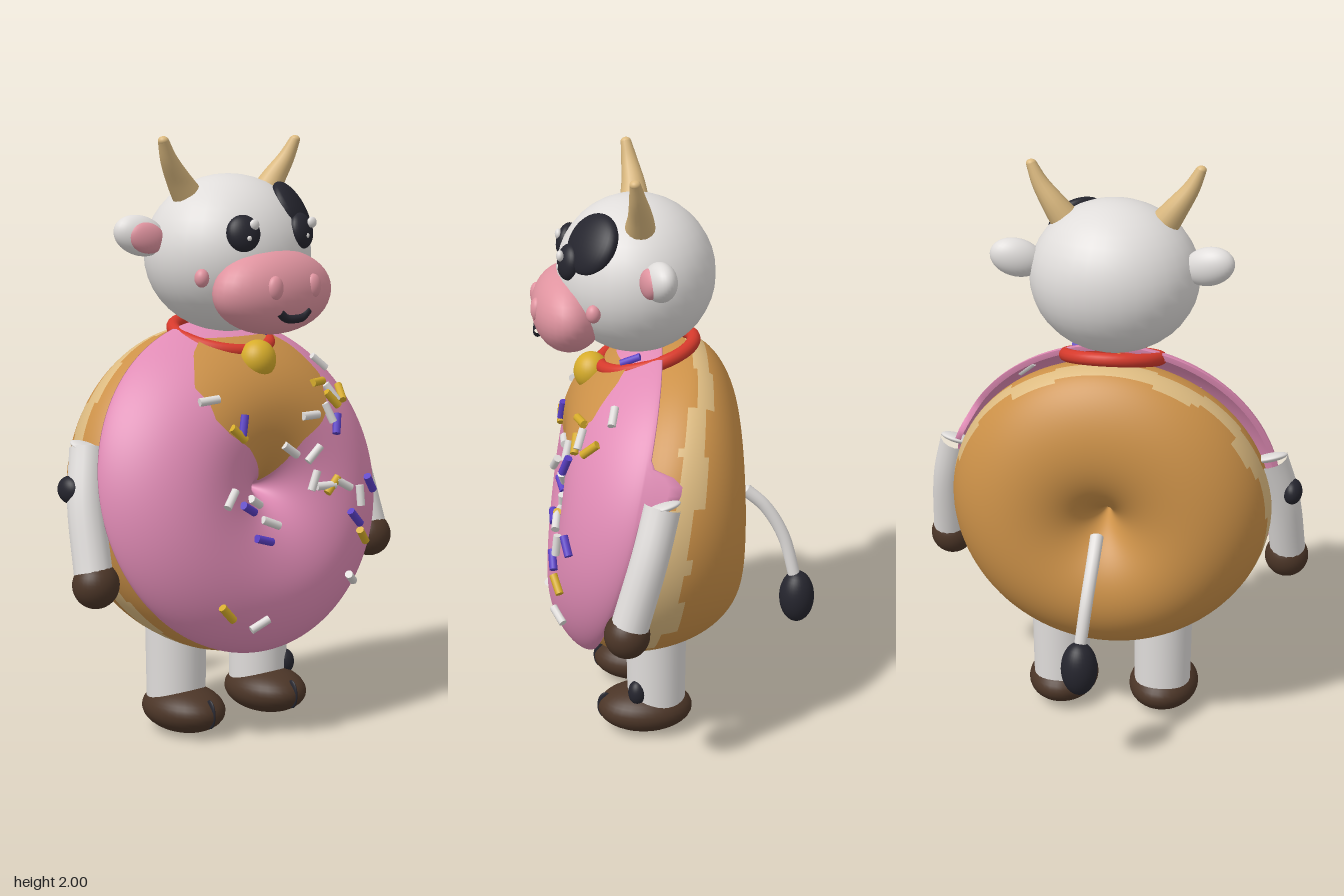
import * as THREE from 'three';

const mat = (name, color, side = THREE.FrontSide) => {
  const m = new THREE.MeshStandardMaterial({ color, side });
  m.name = name;
  return m;
};

// grid surface from a rule p(i, j); the first direction is closed into a ring
function ringSurface(p, nu, nv, closeV, group = () => 0) {
  const pos = [], rows = closeV ? nv : nv + 1, sets = [[], []];
  for (let i = 0; i < nu; i++) for (let j = 0; j < rows; j++) pos.push(...p(i, j));
  const id = (i, j) => (i % nu) * rows + (j % rows);
  for (let i = 0; i < nu; i++) for (let j = 0; j < nv; j++) {
    const a = id(i, j), b = id(i + 1, j), c = id(i + 1, j + 1), d = id(i, j + 1);
    sets[group(i, j)].push(a, b, c, a, c, d);
  }
  const g = new THREE.BufferGeometry();
  g.setAttribute('position', new THREE.Float32BufferAttribute(pos, 3));
  g.setIndex([...sets[0], ...sets[1]]);
  g.addGroup(0, sets[0].length, 0);
  g.addGroup(sets[0].length, sets[1].length, 1);
  g.computeVertexNormals();
  return g;
}

// tube along a smooth path, tapering from r0 to r1
function taperTube(points, r0, r1) {
  const curve = new THREE.CatmullRomCurve3(points.map(p => new THREE.Vector3(...p)));
  const n = 16, k = 16, g = new THREE.TubeGeometry(curve, n, 1, k, false), P = g.attributes.position;
  const v = new THREE.Vector3();
  for (let i = 0; i <= n; i++) {
    const c = curve.getPointAt(i / n), r = r0 + (r1 - r0) * i / n;
    for (let j = 0; j <= k; j++) {
      const q = i * (k + 1) + j;
      v.fromBufferAttribute(P, q).sub(c).multiplyScalar(r).add(c);
      P.setXYZ(q, v.x, v.y, v.z);
    }
  }
  return g;
}

export function createModel() {
  const root = new THREE.Group();
  const white = mat('white', 0xe0dddb), black = mat('black', 0x25252e);
  const icingPink = mat('icingPink', 0xe08bb5, THREE.DoubleSide), skin = mat('skinPink', 0xe094a0);
  const dough = mat('dough', 0xcc9148, THREE.DoubleSide), tan = mat('tan', 0xdcba80);
  const brown = mat('hoofBrown', 0x4b3527), red = mat('red', 0xd63a2c);
  const gold = mat('gold', 0xd6ac2a), purple = mat('purple', 0x5b40c6);

  const add = (name, geo, m) => {
    const mesh = new THREE.Mesh(geo, m);
    mesh.name = name;
    root.add(mesh);
    return mesh;
  };
  const ball = (name, m, c, r, rot = [0, 0, 0]) => {
    const b = add(name, new THREE.SphereGeometry(1, 32, 20), m);
    b.position.set(...c);
    b.scale.set(...r);
    b.rotation.set(...rot);
    return b;
  };
  const TAU = Math.PI * 2;

  // ring-cake body: leaning mid line, flat back, pale jagged band behind the rim
  const NU = 120, NV = 80;
  const doughRing = ringSurface((i, j) => {
    const a = i / NU * TAU, t = j / NV * TAU;
    const rho = Math.max(0.004, 0.5 + 0.5 * Math.cos(t));
    const y = 0.815 + 0.545 * rho * Math.sin(a), mid = 0.07 - 0.2 * (y - 0.84);
    return [0.56 * rho * Math.cos(a), y, mid + Math.sin(t) * (Math.sin(t) > 0 ? 0.24 : mid + 0.21)];
  }, NU, NV, true, (i, j) => {
    const t = (j < NV / 2 ? j : j - NV) / NV * TAU;
    const up = Math.sin(i / NU * TAU), step = [0, 0.08, 0, 0.14, 0.06][Math.floor(i / 6) % 5];
    return t > -0.27 - 0.14 * up - step && t < 0.06 - 0.1 * up - step ? 1 : 0;
  });
  add('doughBody', doughRing, [dough, tan]);

  // icing shell: lens-like outer slope, thin rim and one drip on the left side
  const icingFront = (y, s) => 0.2 - 0.25 * (y - 0.84)
    + (0.21 + 0.1 * (y - 0.84)) * Math.pow(Math.max(0, 1 - s * s), s > 0 ? 0.7 : 0.5);
  const icingZ = (x, y) => icingFront(y, Math.min(1, Math.hypot(x / 0.58, (y - 0.84) / 0.55)) * 2 - 1);
  add('icing', ringSurface((i, j) => {
    const a = i / NU * TAU, t = Math.max(0, j - 4) / 40 * Math.PI;
    const rho = j === 0 ? 0.965 : Math.max(0.004, 0.5 + 0.5 * Math.cos(t));
    const y = 0.84 + 0.55 * rho * Math.sin(a);
    const drip = 0.01 + 0.115 * Math.exp(-Math.pow((a - 0.38) / 0.12, 4));
    const back = j < 4 ? drip * (j === 0 ? 1 : (4 - j) / 3) : 0;
    return [0.58 * rho * Math.cos(a), y, icingFront(y, Math.cos(t)) - back];
  }, NU, 44, false), icingPink);

  // bare dough patch on the chest
  const outline = [[0.865, 0.005], [0.9, 0.035], [0.95, 0.075], [1.0, 0.12], [1.05, 0.2], [1.1, 0.245],
    [1.15, 0.25], [1.2, 0.275], [1.26, 0.24], [1.3, 0.21], [1.34, 0.15]];
  const patch = new THREE.PlaneGeometry(2, 1, 32, 40), PP = patch.attributes.position;
  for (let q = 0; q < PP.count; q++) {
    const y = 0.865 + (PP.getY(q) + 0.5) * 0.475;
    let k = 0;
    while (k < outline.length - 2 && outline[k + 1][0] < y) k++;
    const [y0, w0] = outline[k], [y1, w1] = outline[k + 1];
    const x = PP.getX(q) * (w0 + (w1 - w0) * (y - y0) / (y1 - y0));
    PP.setXYZ(q, x, y, icingZ(x, y) + 0.008);
  }
  patch.computeVertexNormals();
  add('chestPatch', patch, dough);

  // sprinkles: x, y, angle
  const sprinkles = [
    [white, [[-0.25, 1.16, 0.1], [-0.07, 0.81, -0.5], [-0.03, 0.74, -0.4], [-0.22, 0.845, 0.8], [-0.12, 0.42, 0.5],
      [0.31, 0.51, -0.6], [0.35, 0.79, 1.57], [0.33, 1.23, -0.7], [0.15, 1.08, 0], [0.07, 0.97, -0.6],
      [0.16, 0.95, 0.8], [0.16, 0.86, 1.2], [0.29, 1.14, -1], [0.24, 1.08, -1.2], [0.2, 0.84, 0], [0.27, 0.84, -0.5]]],
    [purple, [[-0.145, 1.075, 1.3], [-0.13, 0.8, -0.5], [-0.09, 0.695, -0.3], [0.425, 0.82, -0.9],
      [0.315, 0.72, -0.8], [0.27, 1.04, 1.2], [0.13, 1.35, 1.2]]],
    [gold, [[-0.17, 1.05, -0.7], [-0.25, 0.475, -0.8], [0.36, 0.65, -0.8], [0.23, 1.18, 0],
      [0.28, 1.12, -0.8], [0.36, 1.13, 1.1], [0.225, 0.84, 0.8]]]];
  const rod = new THREE.CylinderGeometry(0.014, 0.014, 0.07, 10), Y = new THREE.Vector3(0, 1, 0);
  for (const [m, list] of sprinkles) for (const [x, y, a] of list) {
    const dx = 0.03 * Math.cos(a), dy = 0.03 * Math.sin(a);
    const s = add('sprinkle', rod, m);
    s.position.set(x, y, icingZ(x, y) + 0.012);
    const dir = new THREE.Vector3(2 * dx, 2 * dy, icingZ(x + dx, y + dy) - icingZ(x - dx, y - dy)).normalize();
    s.quaternion.setFromUnitVectors(Y, dir);
  }

  // head, muzzle and face
  ball('head', white, [0, 1.615, 0.135], [0.29, 0.262, 0.265]);
  ball('muzzle', skin, [0, 1.5, 0.36], [0.235, 0.14, 0.125]);
  const eyePatch = ball('eyePatch', black, [0.153, 1.757, 0.282], [0.108, 0.105, 0.04]);
  eyePatch.lookAt(0.33, 1.93, 0.52);
  add('mouth', taperTube([[-0.062, 1.443, 0.463], [-0.035, 1.422, 0.465], [0, 1.418, 0.467],
    [0.035, 1.422, 0.465], [0.062, 1.443, 0.463]], 0.014, 0.014), black);

  for (const s of [-1, 1]) {
    ball('eye', black, [s * 0.125, 1.692, 0.358], [0.057, 0.06, 0.034], [-0.2, s * 0.35, 0]);
    ball('eyeGlint', white, [s * 0.125 + 0.022, 1.72, 0.387], [0.018, 0.018, 0.012]);
    ball('eyeGlint', white, [s * 0.125 - 0.003, 1.678, 0.391], [0.009, 0.009, 0.007]);
    ball('nostril', skin, [s * 0.082, 1.52, 0.465], [0.03, 0.04, 0.022]);
    ball('cheek', skin, [s * 0.237, 1.55, 0.285], [0.024, 0.03, 0.024]);
    ball('ear', white, [s * 0.325, 1.68, 0.075], [0.092, 0.065, 0.05], [0, s * 0.25, s * 0.3]);
    ball('innerEar', skin, [s * 0.322, 1.674, 0.108], [0.066, 0.05, 0.028], [0, s * 0.25, s * 0.3]);

    // horn with a rounded tip
    const tip = [s * 0.285, 1.985, 0.15];
    add('horn', taperTube([[s * 0.15, 1.78, 0.13], [s * 0.205, 1.855, 0.13], [s * 0.255, 1.925, 0.14], tip], 0.056, 0.018), tan);
    ball('hornTip', tan, tip, [0.018, 0.015, 0.018]);

    // bowed arm and hand hoof
    add('arm', taperTube([[s * 0.55, 1.005, 0.085], [s * 0.592, 0.84, 0.13], [s * 0.613, 0.62, 0.195]], 0.06, 0.063), white);
    ball('shoulder', white, [s * 0.55, 1.005, 0.085], [0.06, 0.015, 0.06], [0.27, 0, s * 0.25]);
    ball('handHoof', brown, [s * 0.61, 0.585, 0.205], [0.077, 0.077, 0.075]);

    // leg and split hoof
    const leg = add('leg', new THREE.CylinderGeometry(0.105, 0.1, 0.3, 32), white);
    leg.position.set(s * 0.185, 0.23, 0.085);
    ball('footHoof', brown, [s * 0.185, 0.08, 0.125], [0.125, 0.08, 0.165]);
    ball('hoofSplit', black, [s * 0.185, 0.085, 0.265], [0.008, 0.05, 0.028]);
  }

  // dark spots on one arm and one leg
  ball('armSpot', black, [-0.628, 0.88, 0.095], [0.035, 0.045, 0.05]);
  ball('legSpot', black, [0.25, 0.168, 0.155], [0.034, 0.045, 0.032]);

  // collar and bell
  const collar = add('collar', new THREE.TorusGeometry(0.163, 0.023, 14, 48), red);
  collar.position.set(0, 1.338, 0.1);
  collar.rotation.x = Math.PI / 2 + 0.26;
  ball('bell', gold, [0, 1.27, 0.288], [0.063, 0.066, 0.06]);

  // tail
  add('tail', taperTube([[0, 0.815, -0.24], [0.002, 0.75, -0.31], [0.012, 0.64, -0.375], [0.03, 0.47, -0.42]], 0.023, 0.021), white);
  ball('tailStub', white, [0, 0.813, -0.242], [0.022, 0.02, 0.012], [-0.8, 0, 0]);
  ball('tailTuft', black, [0.03, 0.41, -0.425], [0.062, 0.096, 0.062]);
  return root;
}
